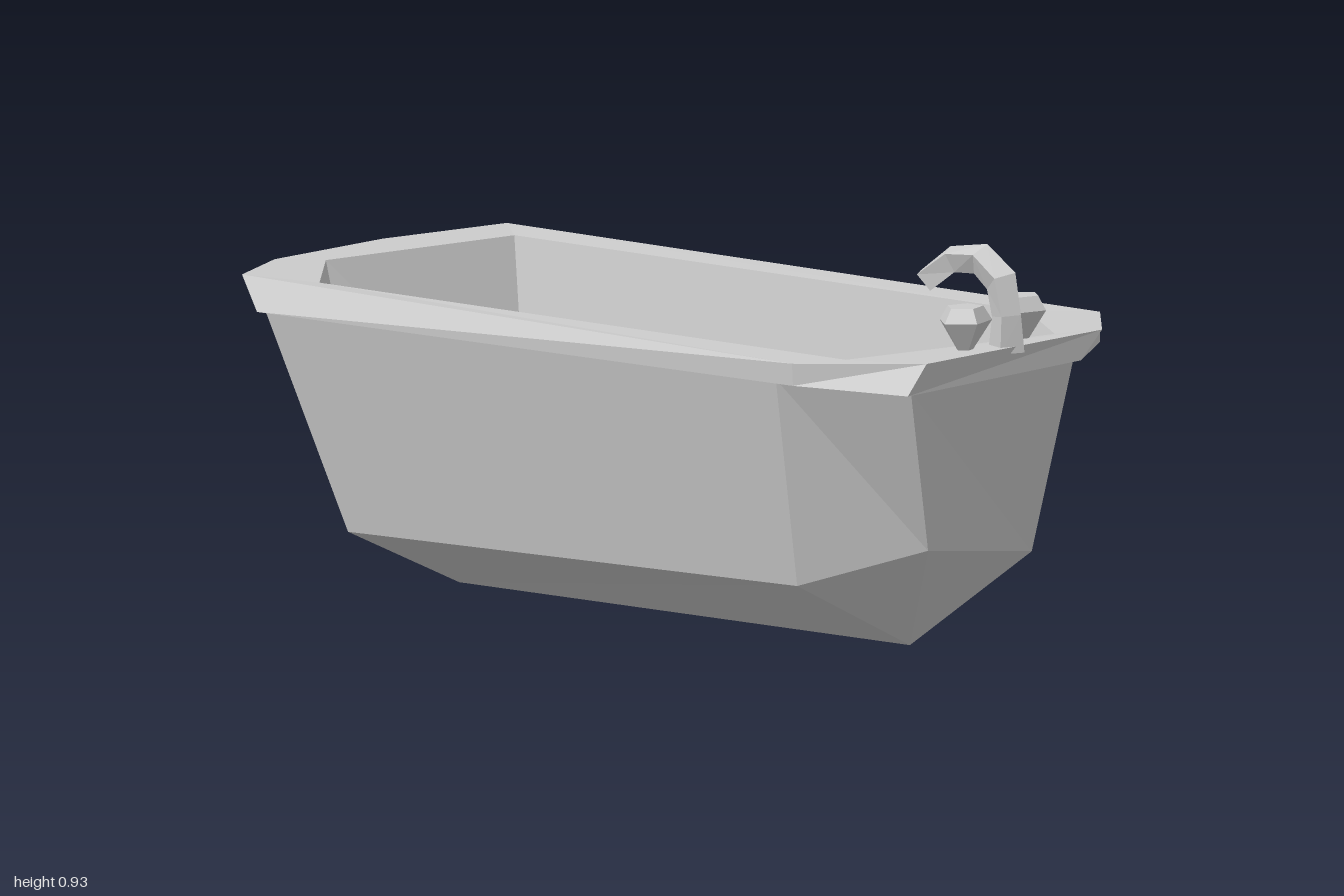
import * as THREE from 'three';

const material = new THREE.MeshStandardMaterial({ color: 0xcccccc, flatShading: true });

// Joins neighbouring rings of points with triangles, skipping collapsed ones.
// diagonals[k] picks which way the quads of band k are split.
function loft(rings, diagonals) {
  const pos = [];
  const same = (p, q) => p.every((v, i) => v === q[i]);
  const tri = (p, q, r) => {
    if (!same(p, q) && !same(q, r) && !same(p, r)) pos.push(...p, ...q, ...r);
  };
  for (let k = 0; k < rings.length - 1; k++) {
    const a = rings[k], b = rings[k + 1], n = a.length;
    for (let i = 0; i < n; i++) {
      const j = (i + 1) % n;
      if (diagonals[k]) {
        tri(a[i], a[j], b[j]);
        tri(a[i], b[j], b[i]);
      } else {
        tri(a[i], a[j], b[i]);
        tri(a[j], b[j], b[i]);
      }
    }
  }
  const geo = new THREE.BufferGeometry();
  geo.setAttribute('position', new THREE.Float32BufferAttribute(pos, 3));
  geo.computeVertexNormals();
  return geo;
}

function addMesh(group, name, geometry) {
  const mesh = new THREE.Mesh(geometry, material);
  mesh.name = name;
  group.add(mesh);
  return mesh;
}

// Eight-cornered rings: front left, front right, two at the tap end,
// back right, back left, two at the head end.
function keelRing(l, r) {
  return [l, r, r, r, r, l, l, l];
}

const outerKeel = keelRing([-0.65, 0, 0], [0.68, 0.01, 0]);
const outerLower = [
  [-0.69, 0.15, 0.325], [0.64, 0.18, 0.33], [0.88, 0.265, 0.165], [0.88, 0.22, -0.18],
  [0.64, 0.17, -0.335], [-0.69, 0.15, -0.325], [-0.88, 0.22, -0.15], [-0.89, 0.26, 0.15],
];
const outerUpper = [
  [-0.84, 0.65, 0.435], [0.67, 0.66, 0.435], [0.94, 0.645, 0.29], [0.98, 0.656, -0.205],
  [0.70, 0.65, -0.415], [-0.84, 0.65, -0.42], [-0.965, 0.65, -0.12], [-0.965, 0.65, 0.2],
];
const rimLower = [
  [-0.83, 0.645, 0.47], [0.74, 0.656, 0.457], [0.98, 0.645, 0.345], [0.99, 0.655, -0.22],
  [0.82, 0.645, -0.475], [-0.85, 0.65, -0.465], [-1, 0.65, -0.14], [-1, 0.65, 0.22],
];
const rimUpper = [
  [-0.91, 0.715, 0.43], [0.74, 0.706, 0.46], [1, 0.715, 0.305], [0.99, 0.715, -0.29],
  [0.82, 0.712, -0.475], [-0.92, 0.715, -0.463], [-1, 0.712, -0.14], [-1, 0.712, 0.22],
];
const openingTap = [0.81, 0.71, 0.36], openingHead = [-0.915, 0.71, 0.145];
const opening = [
  [-0.73, 0.71, 0.375], openingTap, openingTap, [0.93, 0.71, -0.2],
  [0.68, 0.71, -0.39], [-0.82, 0.71, -0.375], openingHead, openingHead,
];
const drain = [0.76, 0.1, -0.03];
const floorTap = [0.66, 0.2, 0.285], floorHead = [-0.73, 0.17, 0.19];
const floorEdge = [
  [-0.68, 0.2, 0.32], floorTap, floorTap, drain,
  [0.68, 0.22, -0.31], [-0.71, 0.23, -0.295], floorHead, floorHead,
];
const innerKeel = keelRing([-0.67, 0.08, -0.065], drain);

export function createModel() {
  const group = new THREE.Group();
  group.name = 'bathtub';

  // Tub shell, overhanging rim and hollow basin
  addMesh(group, 'outerShell', loft([outerKeel, outerLower, outerUpper], [true, false]));
  addMesh(group, 'rim', loft([outerUpper, rimLower, rimUpper, opening], [true, true, false]));
  addMesh(group, 'basin', loft([opening, floorEdge, innerKeel], [false, false]));

  // Curved spout, four-sided and narrowing towards its mouth
  const tap = new THREE.Group();
  tap.name = 'tap';
  group.add(tap);
  const spoutPath = [
    [0.965, 0.70, 0.0], [0.965, 0.78, 0.0], [0.945, 0.855, -0.005],
    [0.88, 0.897, -0.01], [0.81, 0.89, 0.005], [0.757, 0.84, 0.035],
  ].map((p) => new THREE.Vector3(...p));
  const rings = spoutPath.map((p, k) => {
    const dir = spoutPath[Math.min(k + 1, 5)].clone().sub(spoutPath[Math.max(k - 1, 0)]).normalize();
    const side = new THREE.Vector3(0, 0, 1).addScaledVector(dir, -dir.z).normalize();
    const up = dir.clone().cross(side);
    const radius = [0.042, 0.034, 0.038, 0.036, 0.033, 0.033][k];
    return [0, 1, 2, 3].map((i) => {
      const a = (i / 4) * Math.PI * 2 + 0.4;
      return p.clone().addScaledVector(side, Math.cos(a) * radius)
        .addScaledVector(up, Math.sin(a) * radius).toArray();
    });
  });
  const mouth = spoutPath[5].toArray();
  // Rings turn anticlockwise about the path direction
  addMesh(tap, 'spout', loft([...rings, rings[0].map(() => mouth)], [true, false, true, false, true, true]));

  // Pair of faceted handles on either side of the spout
  const profile = [[0, 0], [0.018, 0], [0.066, 0.068], [0.045, 0.1], [0, 0.1]]
    .map((p) => new THREE.Vector2(...p));
  for (const s of [1, -1]) {
    const handle = addMesh(tap, s > 0 ? 'frontHandle' : 'backHandle', new THREE.LatheGeometry(profile, 5));
    handle.position.set(s > 0 ? 0.93 : 0.92, 0.71, s * 0.1);
    handle.scale.x = 0.88;
    handle.rotation.y = s > 0 ? 0 : Math.PI;
  }
  return group;
}
